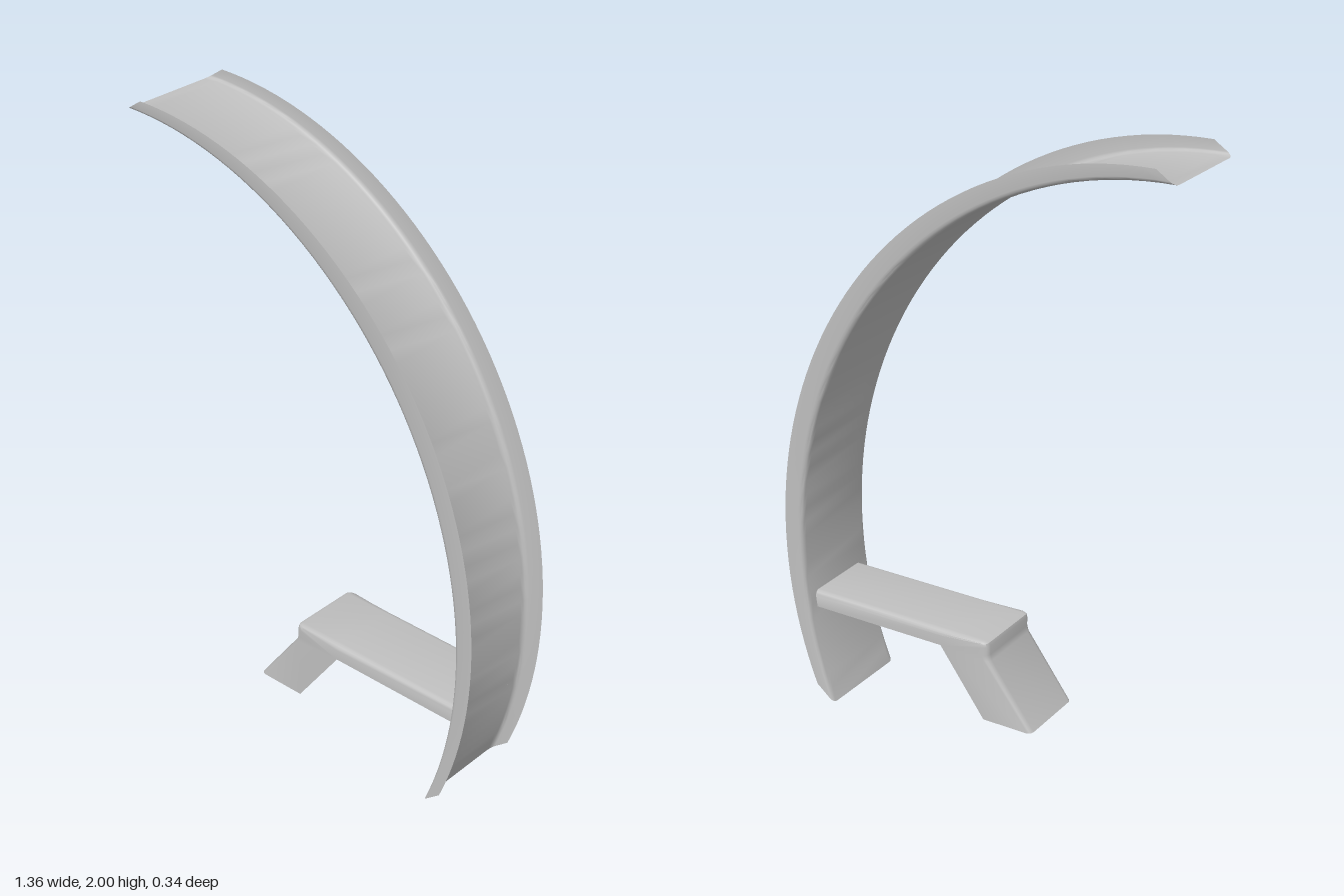
import * as THREE from 'three';
import { toCreasedNormals } from 'three/addons/utils/BufferGeometryUtils.js';

const greyMetal = new THREE.MeshStandardMaterial({ color: 0xbfbfbf, side: THREE.DoubleSide });
greyMetal.name = 'greyMetal';

// Sheet channel: each station is [base point, flange tip] in the xy plane;
// the base spans z = -w..w and rounded edges lead into the two flanges.
function channel(name, stations, w, r) {
  const arc = [0, 1, 2, 3, 4].map((i) => (i / 4) * Math.PI / 2);
  const half = [[1, w], ...arc.map((a) => [null, w - r + r * Math.cos(a), r * (1 - Math.sin(a))])];
  const section = [...half, ...half.slice().reverse().map(([t, z, d]) => [t, -z, d])];
  const pos = [], index = [], n = section.length;
  stations.forEach(([base, tip], i) => {
    const length = Math.hypot(tip[0] - base[0], tip[1] - base[1]);
    for (const [t, z, d] of section) {
      const k = t ?? d / length;
      pos.push(base[0] + (tip[0] - base[0]) * k, base[1] + (tip[1] - base[1]) * k, z);
    }
    if (i === 0) return;
    for (let j = 0; j < n - 1; j++) {
      const a = (i - 1) * n + j, b = a + n;
      index.push(a, b, a + 1, b, b + 1, a + 1);
    }
  });
  const geo = new THREE.BufferGeometry();
  geo.setAttribute('position', new THREE.Float32BufferAttribute(pos, 3));
  geo.setIndex(index);
  const mesh = new THREE.Mesh(toCreasedNormals(geo, 0.7), greyMetal);
  mesh.name = name;
  return mesh;
}

export function createModel() {
  const group = new THREE.Group();
  group.name = 'curvedGuard';

  // Curved guard: base on the inner ellipse, flanges reaching the outer one
  const arch = [];
  const steps = 56, start = -0.402, end = Math.PI / 2;
  for (let i = 0; i <= steps; i++) {
    const a = start + ((end - start) * i) / steps;
    const c = Math.cos(a), s = Math.sin(a);
    arch.push([[-0.68 + 1.295 * c, 0.55 + 1.41 * s], [-0.62 + 1.3 * c, 0.6 + 1.4 * s]]);
  }
  group.add(channel('guardChannel', arch, 0.17, 0.02));

  // Mounting arm with slanted foot, open underneath
  const elbow = [0.115, 0.315];
  group.add(channel('mountingBracket', [
    [[0.604, 0.37], [0.597, 0.315]],
    [[0.115, 0.37], elbow],
    [[-0.045, 0.37], elbow],
    [[-0.056, 0.366], elbow],
    [[-0.06, 0.355], elbow],
    [[-0.06, 0.325], elbow],
    [[-0.065, 0.305], elbow],
    [[-0.22, 0.095], [-0.045, 0.095]],
  ], 0.127, 0.02));

  return group;
}
